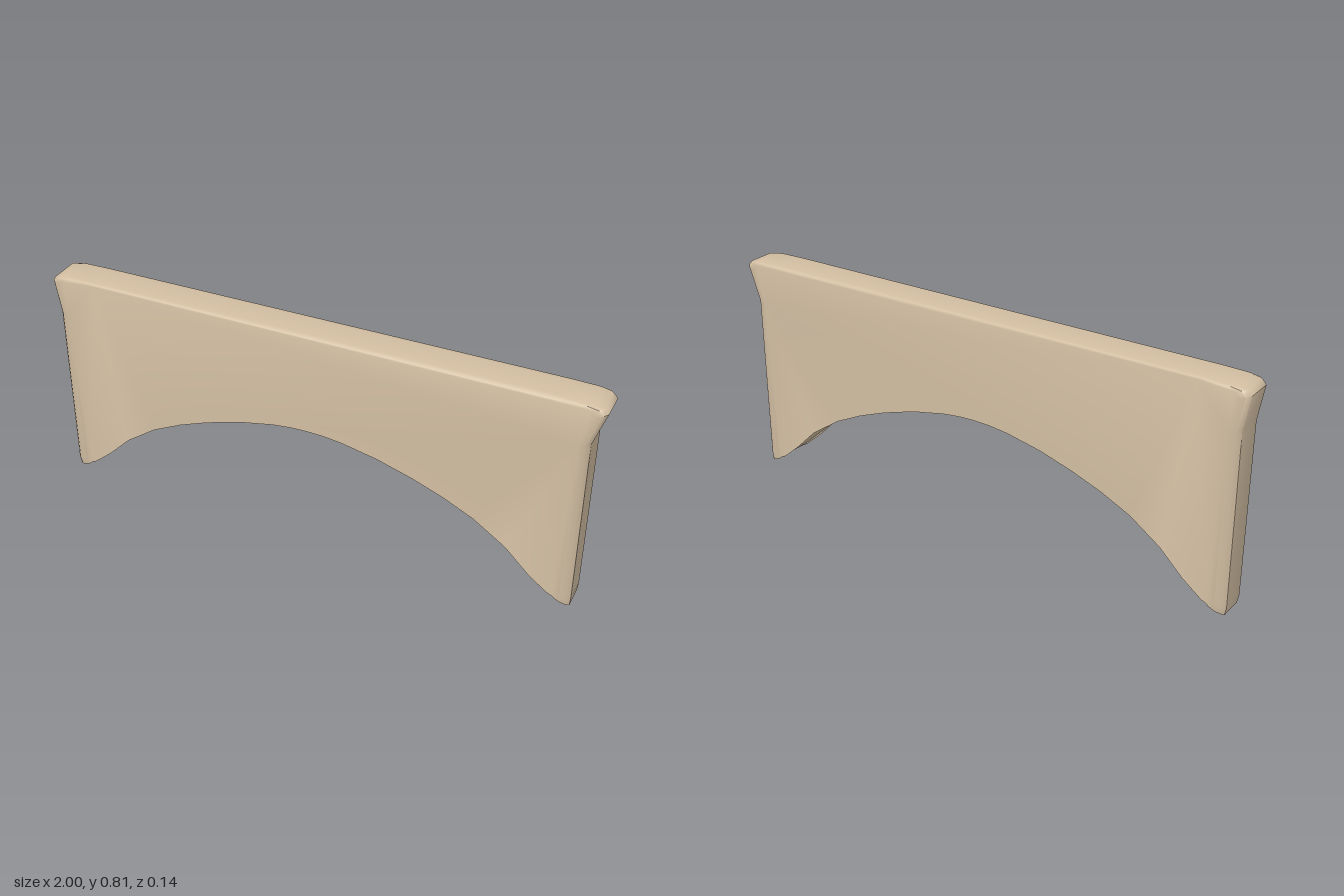
import * as THREE from 'three';
import { toCreasedNormals } from 'three/addons/utils/BufferGeometryUtils.js';

// Depth layers, back to front, and how far the ends draw in at each
const layerZ = [-0.068, -0.064, -0.05, 0.05, 0.064, 0.068];
const layerInset = [0.035, 0.013, 0, 0, 0.013, 0.035];

// Right half of the arch, from the foot up to the crown
const archHalf = [
  [0.935, 0.012], [0.91, 0.025], [0.83, 0.1], [0.73, 0.185], [0.61, 0.265], [0.5, 0.318],
  [0.39, 0.36], [0.26, 0.4], [0.13, 0.427], [0.06, 0.435],
];

function panelOutline() {
  const c = -0.01; // the arch sits slightly off centre
  const arch = [
    ...archHalf.map(([x, y]) => [c + x, y]),
    [c, 0.437],
    ...archHalf.map(([x, y]) => [c - x, y]).reverse(),
  ];
  const leftEnd = [[-0.95, 0.003], [-0.968, 0], [-0.974, 0.03], [-0.978, 0.66], [-1, 0.785], [-0.985, 0.802], [-0.95, 0.808], [-0.85, 0.81]];
  const rightEnd = [[0.85, 0.81], [0.95, 0.808], [0.985, 0.802], [1, 0.785], [0.957, 0.66], [0.953, 0.03], [0.95, 0], [0.933, 0.003]];
  return [...rightEnd, ...arch, ...leftEnd].map(([x, y]) => new THREE.Vector2(x, y));
}

export function createModel() {
  const group = new THREE.Group();
  group.name = 'archedPanel';

  const steps = layerZ.length - 1;
  const geo = new THREE.ExtrudeGeometry(new THREE.Shape(panelOutline()), {
    depth: 1, steps, bevelEnabled: false,
  });

  // Round the ends, feet and top edge while leaving the arch edge sharp
  const p = geo.attributes.position;
  for (let i = 0; i < p.count; i++) {
    const layer = Math.round(p.getZ(i) * steps);
    const inset = layerInset[layer];
    const x = p.getX(i), y = p.getY(i);
    const endWeight = THREE.MathUtils.clamp((Math.abs(x) - 0.7) / 0.25, 0, 1);
    const footWeight = THREE.MathUtils.clamp(1 - y / 0.1, 0, 1);
    const topWeight = y > 0.75 ? 1 : 0;
    p.setXYZ(
      i,
      x - Math.sign(x) * inset * endWeight,
      y + inset * (0.6 * footWeight - 0.2 * topWeight),
      layerZ[layer] * (1 - 0.1 * footWeight),
    );
  }

  const panel = new THREE.Mesh(
    toCreasedNormals(geo, 0.75),
    new THREE.MeshStandardMaterial({ color: 0xd2bea2 }),
  );
  panel.name = 'panel';
  group.add(panel);
  return group;
}
